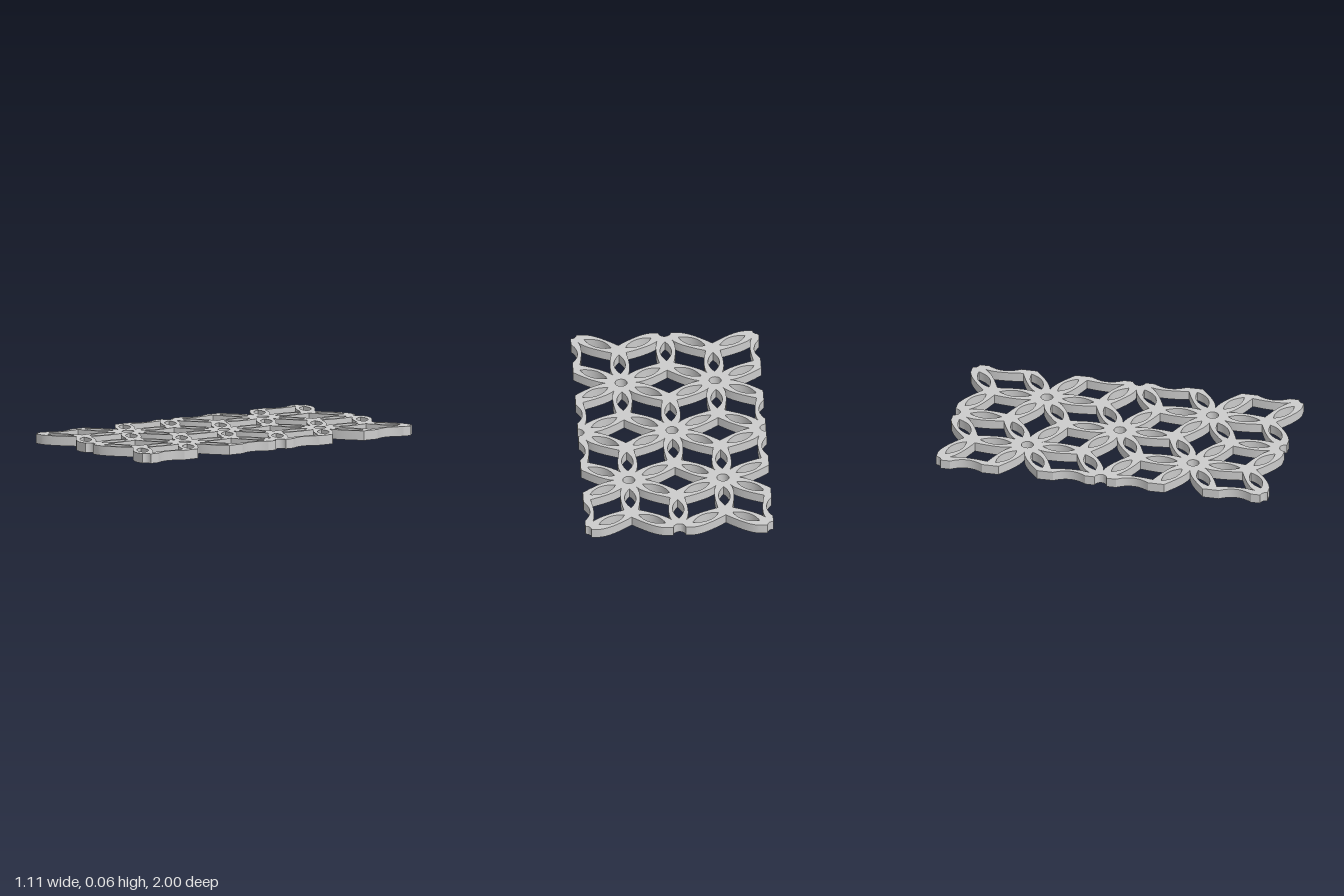
import * as THREE from 'three';
import { toCreasedNormals } from 'three/addons/utils/BufferGeometryUtils.js';

const W = 0.556, D = 1, THICK = 0.057; // half width, half depth, panel thickness
const HUB_R = 0.036; // round hole in each flower centre
const V = (x, y) => new THREE.Vector2(x, y);
const along = (from, to, d) => to.clone().sub(from).setLength(d).add(from);
const mid = (a, b) => a.clone().add(b).multiplyScalar(0.5);

// Points of an arc from a to b whose middle passes through m (end point left out)
function arc(a, b, m, n = 12) {
  const control = m.clone().multiplyScalar(2).sub(mid(a, b));
  return new THREE.QuadraticBezierCurve(a, control, b).getPoints(n).slice(0, -1);
}

// Round hole at a flower centre
function hubHole(hub) {
  const points = [];
  for (let i = 0; i < 24; i++) {
    const t = (i / 24) * Math.PI * 2;
    points.push(V(hub.x + HUB_R * Math.cos(t), hub.y + HUB_R * Math.sin(t)));
  }
  return { centre: hub, points };
}

// Pointed lens opening inside a petal
function petalHole(hub, node) {
  const a = along(hub, node, 0.093), b = along(node, hub, 0.048);
  const centre = mid(a, b), d = node.clone().sub(hub).normalize();
  const side = V(d.y, -d.x).multiplyScalar(0.034);
  return {
    centre,
    points: [...arc(a, b, centre.clone().add(side)), ...arc(b, a, centre.clone().sub(side))],
  };
}

// Four-sided opening between two flowers, bounded by four petals
function gapHole(hubA, nodeA, hubB, nodeB) {
  const centre = mid(hubA, hubB);
  const ring = [hubA, nodeA, hubB, nodeB];
  const corners = ring.map((p, i) => along(p, centre, i % 2 ? 0.05 : 0.088));
  const points = ring.flatMap((p, i) => {
    const q = ring[(i + 1) % 4];
    const d = q.clone().sub(p).normalize();
    const m = mid(p, q).add(V(-d.y, d.x).multiplyScalar(0.058));
    return arc(corners[i], corners[(i + 1) % 4], m);
  });
  return { centre, points };
}

// All openings of the stretched hexagonal flower lattice
function allHoles() {
  const steps = [[1, 0], [0.5, 0.5], [-0.5, 0.5], [-1, 0], [-0.5, -0.5], [0.5, -0.5]]
    .map(([x, y]) => V(x * W, y * D));
  const holes = [];
  for (let row = -3; row <= 3; row++) {
    for (let col = -2; col <= 2; col++) {
      const hub = V((col + (row % 2 ? 0.5 : 0)) * W, row * 0.5 * D);
      const nodes = steps.map((s, k) =>
        s.clone().add(steps[(k + 1) % 6]).divideScalar(3).add(hub));
      holes.push(hubHole(hub));
      nodes.forEach((node) => holes.push(petalHole(hub, node)));
      for (let k = 0; k < 3; k++) {
        holes.push(gapHole(hub, nodes[(k + 5) % 6], steps[k].clone().add(hub), nodes[k]));
      }
    }
  }
  return holes;
}

const E = 1e-6;
const inside = (p) => Math.abs(p.x) < W + E && Math.abs(p.y) < D + E;
const onEdge = (p) => Math.abs(p.x) > W - E || Math.abs(p.y) > D - E;

// Part of an edge opening that lies inside the panel, in clockwise order
function edgeRun(points) {
  const n = points.length;
  const start = points.findIndex((p, i) => inside(p) && !inside(points[(i + n - 1) % n]));
  const run = [];
  for (let i = 0; i < n; i++) {
    const p = points[(start + i) % n];
    if (!inside(p)) break;
    run.push(p);
  }
  return run.reverse();
}

export function createModel() {
  const group = new THREE.Group();
  group.name = 'latticePanel';

  const holes = allHoles().filter((h) => inside(h.centre));

  // The outline follows the openings cut in half by the panel's border
  const angle = (h) => Math.atan2(h.centre.y, h.centre.x);
  const outline = holes.filter((h) => onEdge(h.centre))
    .sort((a, b) => angle(a) - angle(b))
    .flatMap((h) => edgeRun(h.points));

  const shape = new THREE.Shape(outline);
  shape.holes = holes.filter((h) => !onEdge(h.centre))
    .map((h) => new THREE.Path(h.points));

  // Flat extruded panel, laid on the ground
  const geometry = new THREE.ExtrudeGeometry(shape, { depth: THICK, bevelEnabled: false });
  geometry.rotateX(-Math.PI / 2);
  const panel = new THREE.Mesh(
    toCreasedNormals(geometry, 0.5),
    new THREE.MeshStandardMaterial({ color: 0xcccccc }),
  );
  panel.name = 'flowerLattice';
  group.add(panel);
  return group;
}
